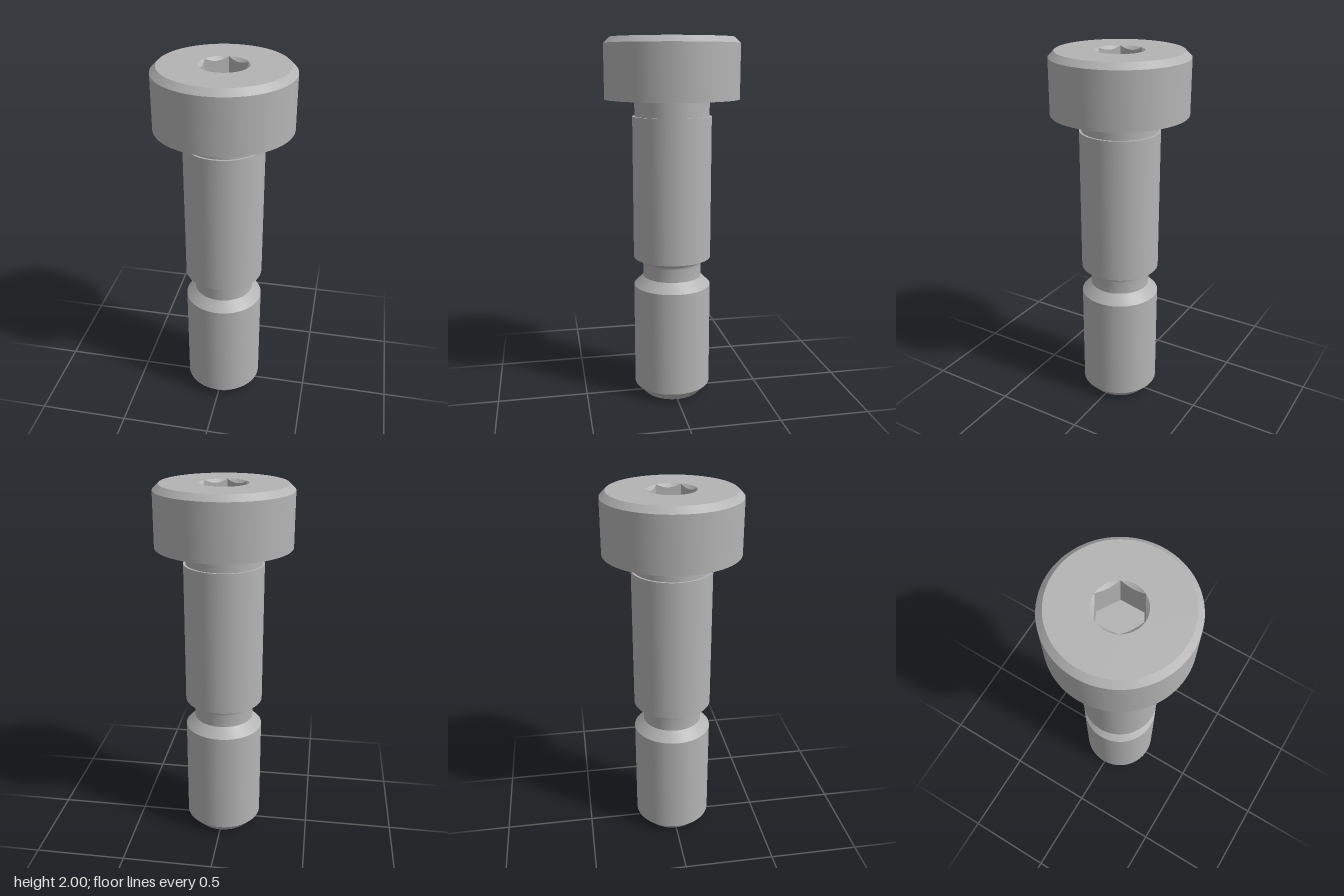
import * as THREE from 'three';
import { toCreasedNormals } from 'three/addons/utils/BufferGeometryUtils.js';

const SEGMENTS = 96;
const RIM = 0.1275;      // mouth radius of the hex socket
const APOTHEM = 0.11;    // half the socket's width across flats
const FLOOR = 1.82;      // height of the socket floor

function turned(points) {
  return new THREE.LatheGeometry(points.map(([r, y]) => new THREE.Vector2(r, y)), SEGMENTS);
}

// Hex socket: turned rings pulled in to a hexagon below a 45 degree countersink
function socketGeometry() {
  const geometry = turned([[RIM, 2], [RIM, 1.98], [RIM, FLOOR], [0, FLOOR]]);
  const p = geometry.attributes.position;
  for (let i = 0; i < p.count; i++) {
    const ring = i % 4;
    if (ring === 0 || ring === 3) continue;
    const angle = Math.floor(i / 4) / SEGMENTS * Math.PI * 2;
    const r = APOTHEM / Math.cos(angle % (Math.PI / 3) - Math.PI / 6);
    const y = ring === 1 ? 2 - (RIM - r) : FLOOR;
    p.setXYZ(i, r * Math.sin(angle), y, r * Math.cos(angle));
  }
  return geometry;
}

export function createModel() {
  const model = new THREE.Group();
  model.name = 'socketHeadScrew';
  const steel = new THREE.MeshStandardMaterial({ name: 'grey steel', color: 0xb4b4b4 });

  const add = (name, geometry) => {
    const mesh = new THREE.Mesh(toCreasedNormals(geometry, 0.42), steel);
    mesh.name = name;
    model.add(mesh);
  };

  // Lower end with chamfers at the tip and below the groove
  add('tip', turned([[0, 0], [0.163, 0], [0.215, 0.055], [0.215, 0.643], [0.163, 0.695]]));

  // Relief groove with a rounded upper corner
  const groove = [[0.163, 0.695]];
  for (let i = 0; i <= 8; i++) {
    const a = i / 8 * Math.PI / 2;
    groove.push([0.203 - 0.04 * Math.cos(a), 0.765 + 0.04 * Math.sin(a)]);
  }
  groove.push([0.215, 0.805]);
  add('groove', turned(groove));

  // Main shank and the slimmer neck under the head
  add('shank', turned([[0.215, 0.805], [0.215, 1.588], [0.203, 1.588]]));
  add('neck', turned([[0.203, 1.588], [0.203, 1.678]]));

  // Head with a chamfered top edge and the socket opening
  add('head', turned([[0.203, 1.678], [0.363, 1.678], [0.363, 1.969], [0.331, 2], [RIM, 2]]));
  add('hexSocket', socketGeometry());

  return model;
}
